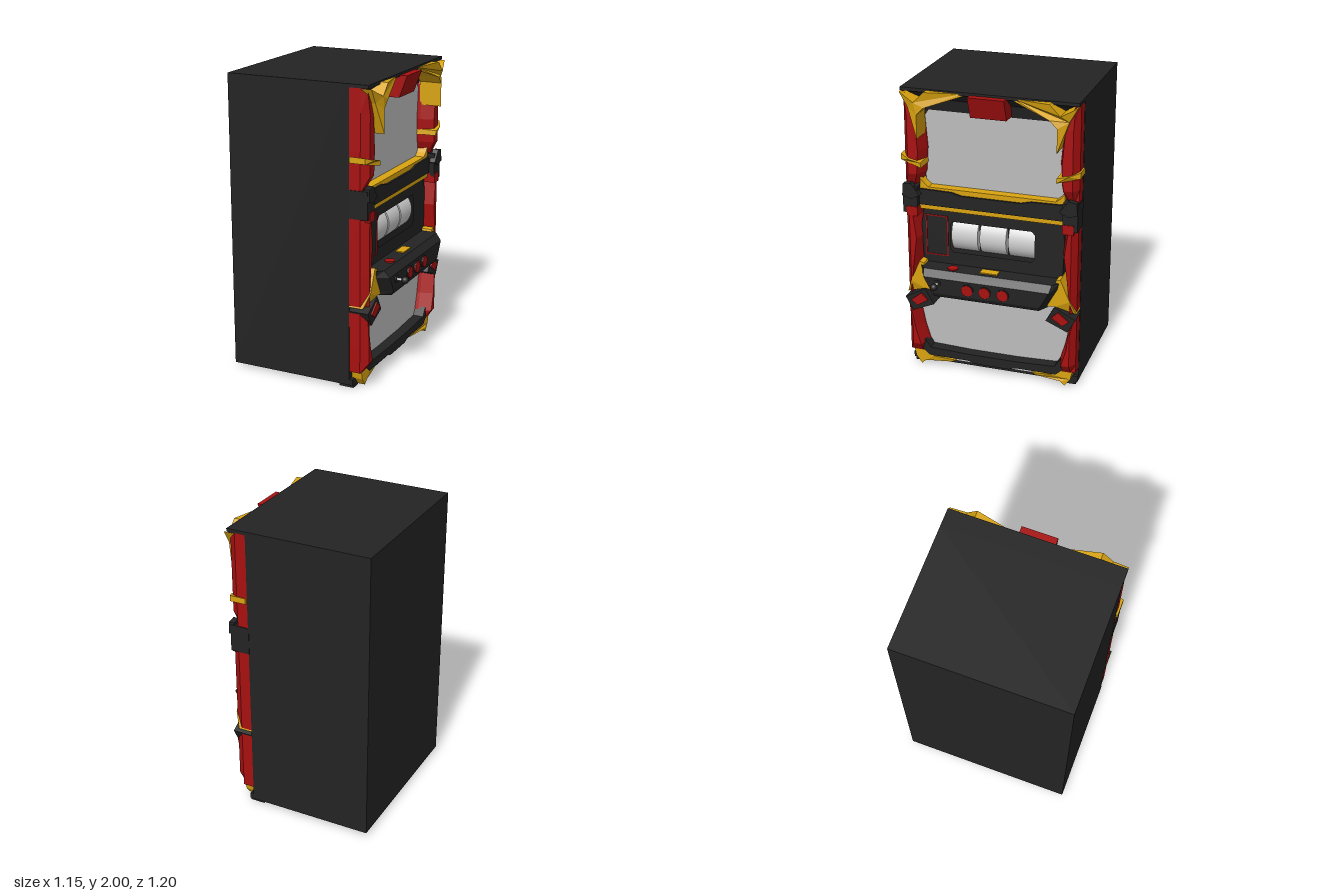
import * as THREE from 'three';

export function createModel() {
  const root = new THREE.Group();
  root.name = 'slotMachine';
  const paint = (name, color) => {
    const m = new THREE.MeshStandardMaterial({ color });
    m.name = name;
    return m;
  };
  const black = paint('blackCasing', 0x232323);
  const red = paint('redTrim', 0xa81010);
  const yellow = paint('yellowTrim', 0xd9a410);
  const grey = paint('screenGrey', 0xbcbcbc);
  const white = paint('reelWhite', 0xd2d2d2);

  const add = (name, geo, mat) => {
    const mesh = new THREE.Mesh(geo, mat);
    mesh.name = name;
    root.add(mesh);
    return mesh;
  };
  const box = (name, mat, x0, x1, y0, y1, z0, z1) =>
    add(name, new THREE.BoxGeometry(x1 - x0, y1 - y0, z1 - z0), mat)
      .position.set((x0 + x1) / 2, (y0 + y1) / 2, (z0 + z1) / 2);

  // Outline in (u, y) with u = -z, extruded along x; the front depth may vary by rule
  const toShape = (pts) => new THREE.Shape(pts.map(([u, y]) => new THREE.Vector2(u, y)));
  const slab = (name, mat, pts, x0, x1, hole) => {
    const shape = toShape(pts);
    if (hole) shape.holes.push(toShape(hole));
    let geo = new THREE.ExtrudeGeometry(shape, { depth: 1, bevelEnabled: false });
    const p = geo.attributes.position;
    for (let i = 0; i < p.count; i++) {
      const front = typeof x1 === 'function' ? x1(Math.abs(p.getX(i)), p.getY(i)) : x1;
      p.setZ(i, p.getZ(i) > 0.5 ? front : x0);
    }
    geo.rotateY(Math.PI / 2);
    geo.computeVertexNormals();
    return add(name, geo, mat);
  };
  const slabPair = (name, mat, pts, x0, x1) => {
    slab(name + 'Near', mat, pts, x0, x1);
    slab(name + 'Far', mat, pts.map(([u, y]) => [-u, y]), x0, x1);
  };
  const symmetric = (half) => [...half, ...half.map(([u, y]) => [-u, y]).reverse()];
  const rect = (u0, u1, y0, y1) => [[u0, y0], [u1, y0], [u1, y1], [u0, y1]];

  // Faceted loft through horizontal rings of [z, x] points
  const loft = (name, mat, rows) => {
    const v = [];
    const n = rows[0].ring.length;
    const put = (r, j) => v.push(rows[r].ring[j % n][1], rows[r].y, rows[r].ring[j % n][0]);
    for (let r = 0; r < rows.length - 1; r++) {
      for (let j = 0; j < n; j++) {
        put(r, j); put(r, j + 1); put(r + 1, j + 1);
        put(r, j); put(r + 1, j + 1); put(r + 1, j);
      }
    }
    const top = rows.length - 1;
    for (let j = 1; j < n - 1; j++) {
      put(0, 0); put(0, j + 1); put(0, j);
      put(top, 0); put(top, j); put(top, j + 1);
    }
    const geo = new THREE.BufferGeometry();
    geo.setAttribute('position', new THREE.Float32BufferAttribute(v, 3));
    geo.computeVertexNormals();
    return add(name, geo, mat);
  };

  // Cabinet and its overhanging roof
  box('cabinet', black, -0.58, 0.275, 0.02, 2, -0.587, 0.587);
  box('roofLip', black, 0.275, 0.405, 1.978, 2, -0.587, 0.587);
  const hoodRing = (h, x) => [[h, 0.275], [h, x], [-h, x], [-h, 0.275]];
  loft('roofHood', black, [[1.83, 0.46, 0.29], [1.91, 0.47, 0.31], [1.98, 0.55, 0.40]]
    .map(([y, h, x]) => ({ y, ring: hoodRing(h, x) })));
  box('baseSill', black, 0.275, 0.30, 0.02, 0.06, -0.587, 0.587);
  for (const s of [-1, 1]) box('foot', black, 0.2, 0.3, 0, 0.02, s * 0.54 - 0.035, s * 0.54 + 0.035);

  // Red side columns: rows of [y, inner z, front x]
  const column = (name, rows) => {
    for (const s of [1, -1]) {
      loft(name + (s > 0 ? 'Near' : 'Far'), red, rows.map(([y, zi, xf]) => {
        const ring = [[0.585, 0.275], [0.585, Math.min(0.35, xf)], [Math.max(0.55, zi), xf],
          [Math.min(zi + 0.03, 0.58), xf], [zi, 0.31], [zi, 0.275]].map(([z, x]) => [z * s, x]);
        return { y, ring: s > 0 ? ring : ring.reverse() };
      }));
    }
  };
  column('upperColumn', [[1.32, 0.50, 0.35], [1.42, 0.46, 0.40], [1.58, 0.45, 0.40],
    [1.82, 0.47, 0.40], [1.978, 0.56, 0.395]]);
  column('middleColumn', [[0.57, 0.52, 0.40], [0.78, 0.50, 0.40], [0.97, 0.475, 0.40], [1.16, 0.50, 0.40]]);
  column('lowerColumn', [[0.115, 0.47, 0.355], [0.18, 0.465, 0.40], [0.30, 0.50, 0.40], [0.53, 0.545, 0.40]]);

  // Upper screen with yellow rim
  slab('upperScreen', grey, symmetric([[-0.44, 1.32], [-0.47, 1.36], [-0.47, 1.79], [-0.44, 1.835]]), 0.275, 0.285);
  slab('upperScreenSill', yellow, symmetric([[-0.49, 1.38], [-0.49, 1.29], [-0.2, 1.285]])
    .concat([[0.46, 1.345], [0.43, 1.322], [-0.43, 1.322], [-0.46, 1.345]]), 0.275, 0.35);

  // Yellow claws in the top corners, thinning towards the middle
  const clawDepth = (u) => (u > 0.49 ? 0.425 : u > 0.4 ? 0.455 : 0.40 + 0.055 * (u - 0.17) / 0.23);
  slabPair('topClaw', yellow, [[-0.585, 1.975], [-0.53, 1.88], [-0.46, 1.68], [-0.46, 1.84], [-0.41, 1.89],
    [-0.17, 1.972], [-0.17, 1.988], [-0.41, 1.992], [-0.48, 1.92]], 0.3, clawDepth);
  slab('topLamp', red, rect(-0.12, 0.12, 1.84, 1.985), 0.28, (u, y) => (y > 1.9 ? 0.455 : 0.40));

  // Clasps round the upper columns
  slabPair('columnClasp', yellow, [[-0.6, 1.55], [-0.6, 1.51], [-0.45, 1.475], [-0.455, 1.51], [-0.53, 1.525]],
    0.28, (u) => (u > 0.55 ? 0.39 : 0.425));

  // Black belt between the upper screen and the reels
  slab('belt', black, symmetric([[-0.53, 1.2], [-0.53, 1.31], [-0.27, 1.305], [-0.2, 1.288]]), 0.275, 0.365);
  slabPair('beltEnd', black, rect(-0.59, -0.49, 1.15, 1.335), 0.27, 0.403);
  slabPair('beltTab', black, [[-0.59, 1.27], [-0.53, 1.25], [-0.47, 1.28], [-0.53, 1.36], [-0.585, 1.35]], 0.375, 0.415);
  slabPair('beltKnuckle', red, rect(-0.565, -0.49, 1.13, 1.195), 0.3, 0.408);
  slab('reelPanelRim', yellow, rect(-0.49, 0.49, 1.168, 1.2), 0.275, 0.355);

  // Reel panel with a window, three reels and a red outline beside them
  slab('reelPanel', black, symmetric([[-0.48, 0.78], [-0.49, 1.05], [-0.47, 1.18]]), 0.275, 0.335,
    symmetric([[-0.27, 0.875], [-0.29, 0.9], [-0.29, 1.065], [-0.27, 1.09]]));
  for (const z of [-0.196, 0, 0.196]) {
    const reel = add('reel', new THREE.CylinderGeometry(0.14, 0.14, 0.18, 40), white);
    reel.rotation.x = Math.PI / 2;
    reel.position.set(0.185, 0.983, z);
  }
  slab('payoutFrame', red, rect(-0.46, -0.305, 0.84, 1.125), 0.334, 0.34, rect(-0.453, -0.312, 0.847, 1.118));

  // Control console
  loft('console', black, [[0.6, 0.4, 0.47], [0.63, 0.41, 0.488], [0.74, 0.47, 0.488], [0.785, 0.48, 0.45]]
    .map(([y, h, x]) => ({ y, ring: [[h, 0.275], [h, 0.4], [h - 0.04, x], [0.04 - h, x], [-h, 0.4], [-h, 0.275]] })));
  const knob = (name, mat, r, len, x, y, z) => {
    const k = add(name, new THREE.CylinderGeometry(r, r, len, 24), mat);
    k.rotation.z = -Math.PI / 2;
    k.position.set(x, y, z);
  };
  for (const z of [-0.122, 0.002, 0.122]) {
    knob('buttonRim', black, 0.042, 0.014, 0.488, 0.683, z);
    knob('button', red, 0.038, 0.02, 0.491, 0.683, z);
  }
  knob('joystickSocket', black, 0.025, 0.02, 0.486, 0.703, 0.332);
  knob('joystickStem', white, 0.009, 0.07, 0.515, 0.703, 0.332);
  add('joystickBall', new THREE.SphereGeometry(0.025, 20, 14), black).position.set(0.55, 0.703, 0.332);
  add('spinButton', new THREE.CylinderGeometry(0.035, 0.035, 0.01, 24), red).position.set(0.405, 0.788, 0.25);
  box('consoleBadge', yellow, 0.36, 0.42, 0.782, 0.792, -0.06, 0.06);

  // Yellow brackets and black clamps under the console
  slabPair('consoleBracket', yellow, [[-0.588, 0.56], [-0.55, 0.66], [-0.485, 0.81], [-0.455, 0.8],
    [-0.43, 0.71], [-0.365, 0.605], [-0.45, 0.615]], 0.275, (u) => (u > 0.56 ? 0.37 : 0.408));
  slabPair('clamp', black, [[-0.592, 0.535], [-0.45, 0.61], [-0.39, 0.505], [-0.54, 0.44]], 0.275, 0.41);
  slabPair('clampLight', red, [[-0.55, 0.52], [-0.475, 0.58], [-0.43, 0.535], [-0.505, 0.485]], 0.4, 0.42);

  // Lower screen, bottom bar and corner claws
  slab('lowerScreen', grey, symmetric([[-0.47, 0.12], [-0.47, 0.2], [-0.55, 0.43], [-0.41, 0.62]]), 0.275, 0.285);
  slab('lowerGlow', grey, symmetric([[-0.38, 0.045], [-0.44, 0.085]]), 0.3, 0.307);
  slab('bottomBar', black, symmetric([[-0.12, 0.068], [-0.17, 0.085], [-0.45, 0.085], [-0.5, 0.13],
    [-0.48, 0.205], [-0.44, 0.145], [-0.16, 0.135]]), 0.275, 0.36);
  slabPair('bottomClaw', yellow, [[-0.51, 0.008], [-0.55, 0.06], [-0.565, 0.125], [-0.46, 0.11], [-0.42, 0.075],
    [-0.27, 0.05], [-0.3, 0.035], [-0.48, 0.035]], 0.28, (u) => (u > 0.4 ? 0.352 : 0.32));
  return root;
}
